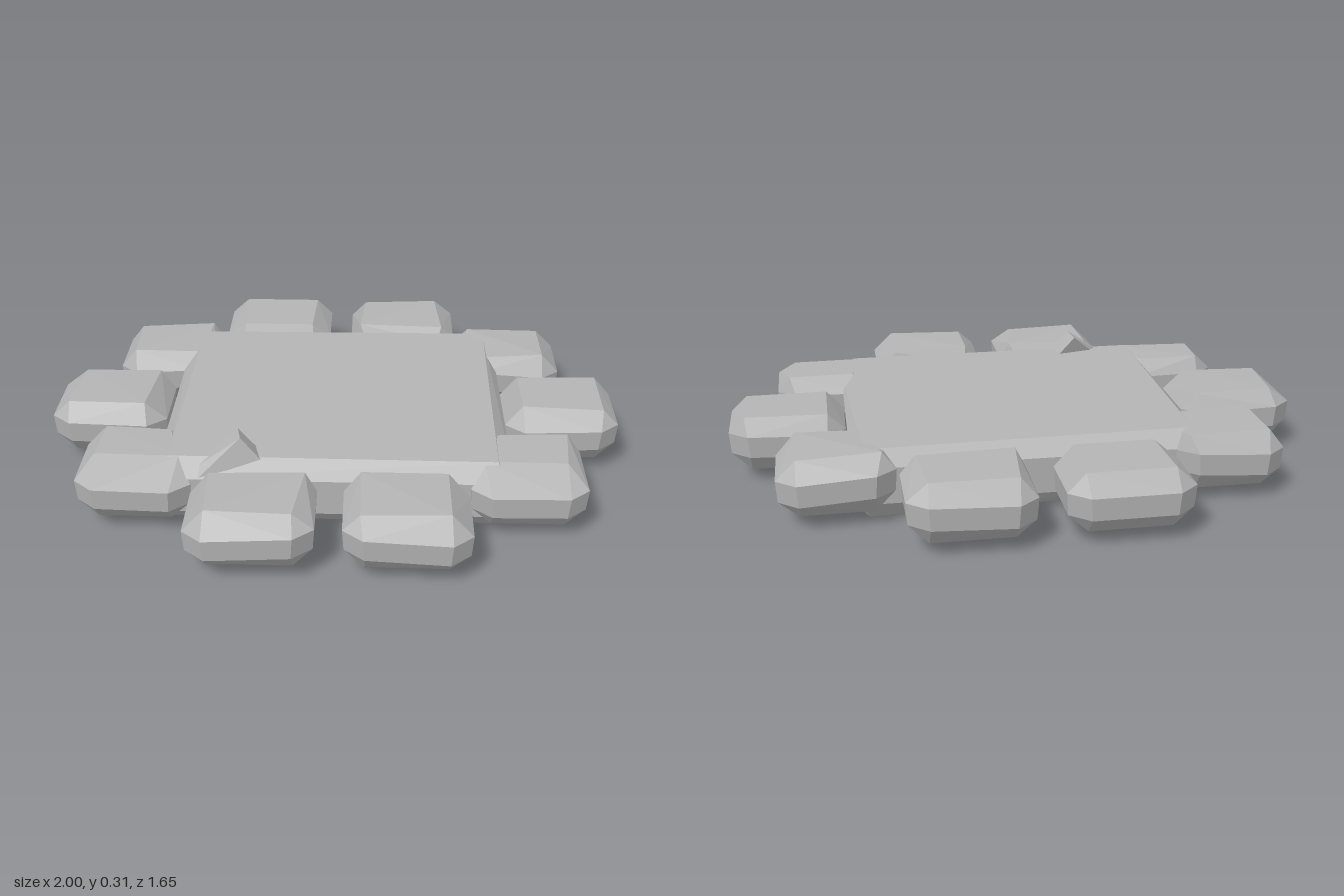
import * as THREE from 'three';
import { ConvexGeometry } from 'three/addons/geometries/ConvexGeometry.js';

const stoneGrey = new THREE.MeshStandardMaterial({ color: 0xb4b4b4, flatShading: true });
stoneGrey.name = 'stoneGrey';

// Faceted rock: the hull of a few points
function rock(name, points) {
  const mesh = new THREE.Mesh(new ConvexGeometry(points.map(p => new THREE.Vector3(...p))), stoneGrey);
  mesh.name = name;
  return mesh;
}

// Rectangle with cut corners at height y
function ring(x0, x1, z0, z1, y, cutX, cutZ) {
  return [
    [x0, y, z0 + cutZ], [x0 + cutX, y, z0], [x1 - cutX, y, z0], [x1, y, z0 + cutZ],
    [x1, y, z1 - cutZ], [x1 - cutX, y, z1], [x0 + cutX, y, z1], [x0, y, z1 - cutZ],
  ];
}

// Stone from its outer bounds and the four corners of its worn top
function stone(name, [x0, x1, z0, z1], top, i) {
  const lean = 0.008 * Math.sin(i * 2.3);
  const tilt = p => [p[0], p[1] + lean * Math.sign(p[0] - (x0 + x1) / 2), p[2]];
  const points = [
    ...ring(x0, x1, z0, z1, 0.175, 0.065, 0.055).map(tilt),
    ...ring(x0 + 0.005, x1 - 0.005, z0 + 0.005, z1 - 0.005, 0.1, 0.065, 0.055).map(tilt),
  ];
  for (let k = 0; k < 8; k += 2) points.push([top[k], 0.236 + (k % 4 ? lean : -lean) * 0.5, top[k + 1]]);
  for (const x of [x0 + 0.07, x1 - 0.07])
    for (const z of [z0 + 0.06, z1 - 0.06]) points.push([x, 0.04, z]);
  return rock(name, points);
}

export function createModel() {
  const model = new THREE.Group();
  model.name = 'stoneDais';

  // Central slab, bevelled above and below
  model.add(rock('slab', [
    [-0.545, 0.012, -0.46], [0.545, 0, -0.47], [0.55, 0, 0.46], [-0.545, 0.012, 0.465],
    ...ring(-0.575, 0.592, -0.51, 0.51, 0.06, 0.03, 0.03),
    ...ring(-0.58, 0.597, -0.515, 0.51, 0.185, 0.05, 0.05),
    [-0.53, 0.238, -0.46], [0.558, 0.238, -0.475], [0.545, 0.238, 0.455], [-0.535, 0.238, 0.45],
  ]));

  // Broken shard at the front corner
  model.add(rock('shard', [
    [-0.31, 0.302, 0.375], [-0.295, 0.31, 0.45], [-0.25, 0.235, 0.38], [-0.23, 0.235, 0.46],
    [-0.38, 0.24, 0.41], [-0.47, 0.19, 0.48], [-0.44, 0.18, 0.51],
  ]));

  // Ring of loose stones: outer bounds, then top corners as x, z pairs
  const ringStones = {
    backRightStone: [[-0.45, -0.04, -0.83, -0.51], [-0.385, -0.77, -0.1, -0.77, -0.11, -0.54, -0.375, -0.54]],
    backLeftStone: [[0.045, 0.45, -0.83, -0.505], [0.1, -0.76, 0.38, -0.77, 0.4, -0.54, 0.08, -0.54]],
    leftBackStone: [[0.455, 0.835, -0.575, -0.25], [0.5, -0.51, 0.77, -0.52, 0.77, -0.3, 0.55, -0.29]],
    leftStone: [[0.6, 0.995, -0.17, 0.16], [0.66, -0.13, 0.94, -0.13, 0.94, 0.1, 0.66, 0.09]],
    leftFrontStone: [[0.455, 0.835, 0.23, 0.575], [0.56, 0.28, 0.79, 0.27, 0.77, 0.45, 0.5, 0.45]],
    frontLeftStone: [[0.045, 0.45, 0.5, 0.825], [0.1, 0.53, 0.38, 0.52, 0.38, 0.76, 0.1, 0.76]],
    frontRightStone: [[-0.45, -0.04, 0.505, 0.825], [-0.39, 0.54, -0.08, 0.54, -0.11, 0.76, -0.38, 0.76]],
    rightFrontStone: [[-0.835, -0.455, 0.24, 0.575], [-0.77, 0.27, -0.55, 0.28, -0.5, 0.45, -0.78, 0.44]],
    rightStone: [[-1, -0.595, -0.175, 0.16], [-0.92, -0.13, -0.65, -0.14, -0.67, 0.11, -0.94, 0.1]],
    rightBackStone: [[-0.83, -0.46, -0.57, -0.24], [-0.78, -0.51, -0.5, -0.53, -0.52, -0.3, -0.77, -0.29]],
  };
  Object.entries(ringStones).forEach(([name, [bounds, top]], i) => model.add(stone(name, bounds, top, i)));

  return model;
}
